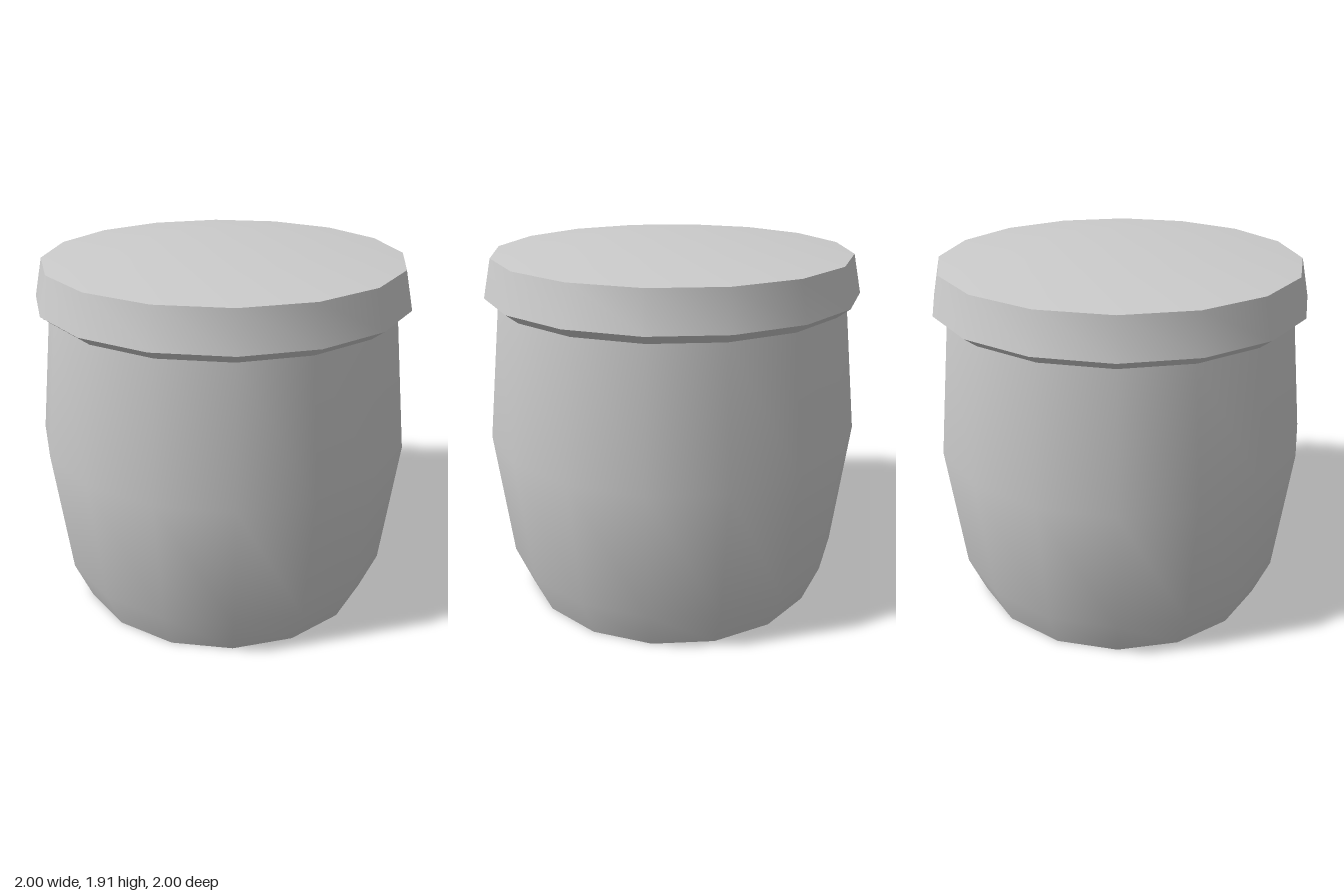
import * as THREE from 'three';
import { toCreasedNormals } from 'three/addons/utils/BufferGeometryUtils.js';

const SIDES = 16;

// Turns a profile of [radius, height] pairs, bottom to top, into a 16-sided part
function turned(name, profile, crease) {
  const points = profile.map(([r, y]) => new THREE.Vector2(r, y));
  const geometry = toCreasedNormals(new THREE.LatheGeometry(points, SIDES), crease);
  const mesh = new THREE.Mesh(geometry, new THREE.MeshStandardMaterial({ color: 0xcccccc }));
  mesh.name = name;
  return mesh;
}

export function createModel() {
  const jar = new THREE.Group();
  jar.name = 'liddedJar';
  const smooth = THREE.MathUtils.degToRad(30);

  // Bulging body with a narrowed foot and a closed base
  jar.add(turned('body', [[0, 0], [0.83, 0], [0.92, 0.22], [1, 0.92], [0.92, 1.62]], smooth));

  // Lid: faceted underside, tapering band and a slightly domed top
  const lid = new THREE.Group();
  lid.name = 'lid';
  lid.add(
    turned('lidUnderside', [[0.92, 1.62], [0.985, 1.67]], 0.01),
    turned('lidBand', [[0.985, 1.67], [0.942, 1.87]], smooth),
    turned('lidTop', [[0.942, 1.87], [0.5, 1.913], [0, 1.913]], smooth),
  );
  jar.add(lid);
  return jar;
}
